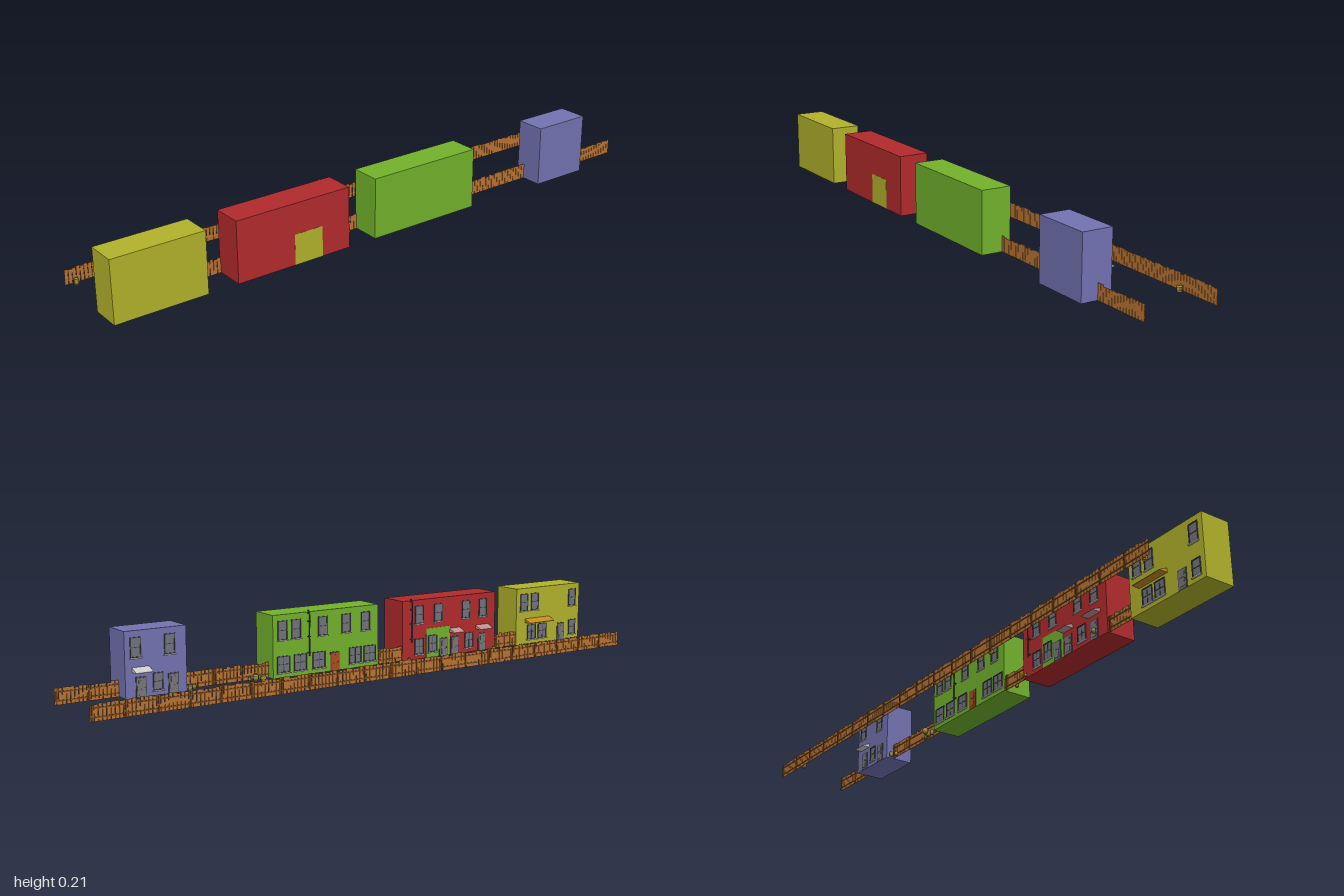
import * as THREE from 'three';

const WALL = 0.05; // street-side plane of every house (faces -x)
const GREY = 0xcccccc, FRAME = 0x4a4a50, GLASS = 0x70747c, WOOD = 0xb87333, DARKWOOD = 0x7a4a20;
const YELLOW = 0xb2b22c, RED = 0xb22a2c, GREEN = 0x72b22c, PURPLE = 0x7272b2;

const mats = {};
const mat = (c) => (mats[c] ??= new THREE.MeshStandardMaterial({ color: c, side: THREE.DoubleSide, flatShading: true }));

function add(parent, name, geo, color, x = 0, y = 0, z = 0) {
  const m = new THREE.Mesh(geo, mat(color));
  m.name = name;
  m.position.set(x, y, z);
  parent.add(m);
  return m;
}
const box = (p, name, c, w, h, d, x, y, z) => add(p, name, new THREE.BoxGeometry(w, h, d), c, x, y, z);

function group(parent, name, x = 0, y = 0, z = 0) {
  const g = new THREE.Group();
  g.name = name;
  g.position.set(x, y, z);
  parent.add(g);
  return g;
}

// Small repeatable noise
let seed = 7;
const rand = () => (seed = (seed * 16807) % 2147483647) / 2147483647;

// Sash window: pane, four frame bars, mullions and a sill
function addWindow(parent, z, y, w, h, columns = 1) {
  const g = group(parent, 'window', WALL, y, z);
  box(g, 'pane', GLASS, 0.001, h, w, -0.0005, 0, 0);
  for (const s of [-1, 1]) {
    box(g, 'frameSide', FRAME, 0.003, h, 0.003, -0.0015, 0, s * w / 2);
    box(g, 'frameBar', FRAME, 0.003, 0.003, w + 0.003, -0.0015, s * h / 2, 0);
  }
  box(g, 'crossBar', FRAME, 0.002, 0.002, w, -0.001, 0, 0);
  for (let i = 1; i < columns; i++) box(g, 'mullion', FRAME, 0.002, h, 0.002, -0.001, 0, -w / 2 + (w * i) / columns);
  box(g, 'sill', GREY, 0.005, 0.003, w + 0.008, -0.0025, -h / 2 - 0.003, 0);
}

// Door with frame, panels and knob
function addDoor(parent, z, color) {
  const g = group(parent, 'door', WALL, 0, z);
  box(g, 'doorFrame', FRAME, 0.002, 0.062, 0.034, -0.001, 0.031, 0);
  box(g, 'doorLeaf', color, 0.003, 0.058, 0.028, -0.0015, 0.029, 0);
  for (const y of [0.016, 0.043]) box(g, 'doorPanel', color, 0.004, 0.018, 0.018, -0.002, y, 0);
  add(g, 'doorKnob', new THREE.SphereGeometry(0.0015, 8, 6), FRAME, -0.004, 0.029, 0.011);
}

// Sloping canopy over a door or shop window
function addAwning(parent, z, w, color) {
  const s = new THREE.Shape([[0, 0.012], [-0.028, 0], [-0.028, -0.002], [0, -0.002]].map((p) => new THREE.Vector2(...p)));
  const geo = new THREE.ExtrudeGeometry(s, { depth: w, bevelEnabled: false }).translate(0, 0, -w / 2);
  add(parent, 'awning', geo, color, WALL, 0.079, z);
}

// Drainpipe with a bent top and wall brackets
function addPipe(parent, z, bottom) {
  const g = group(parent, 'drainpipe', 0, 0, z);
  const path = new THREE.CatmullRomCurve3([[0.042, bottom], [0.042, 0.13], [0.042, 0.198], [0.045, 0.203], [0.052, 0.205]]
    .map(([x, y]) => new THREE.Vector3(x, y, 0)), false, 'centripetal');
  add(g, 'pipe', new THREE.TubeGeometry(path, 20, 0.002, 8), FRAME);
  for (const y of [0.07, 0.122, 0.17, 0.197]) box(g, 'bracket', FRAME, 0.011, 0.003, 0.007, 0.0455, y, 0);
}

// Upright planks of uneven height on two rails and posts
function addFence(parent, x, z0, z1) {
  const g = group(parent, 'fence');
  const n = Math.round((z1 - z0) / 0.0125), step = (z1 - z0) / n;
  for (let i = 0; i < n; i++) {
    const h = 0.046 + rand() * 0.006;
    const p = box(g, 'plank', WOOD, 0.0015, h, step * 0.9, x, h / 2, z0 + (i + 0.5) * step);
    p.rotation.x = (rand() - 0.5) * 0.05;
    if (i % 8 === 0) box(g, 'post', DARKWOOD, 0.003, 0.048, 0.004, x - 0.002, 0.024, z0 + (i + 0.5) * step);
  }
  for (const y of [0.012, 0.038]) box(g, 'rail', DARKWOOD, 0.002, 0.004, z1 - z0, x - 0.0015, y, (z0 + z1) / 2);
}

// Barrel with hoops
function addBarrel(parent, x, z, s = 1) {
  const g = group(parent, 'barrel', x, 0, z);
  const profile = [[0, 0], [0.007, 0], [0.0085, 0.005], [0.009, 0.01], [0.0085, 0.015], [0.007, 0.02], [0, 0.019]];
  add(g, 'staves', new THREE.LatheGeometry(profile.map((p) => new THREE.Vector2(...p)), 12), 0x9c8a2c);
  for (const y of [0.005, 0.015]) add(g, 'hoop', new THREE.CylinderGeometry(0.0089, 0.0089, 0.0015, 12, 1, true), FRAME, 0, y, 0);
  g.scale.setScalar(s);
}

// Houses: extent along z, upper windows, lower windows [z, width, columns], doors, awnings [z, width, colour], pipes [z, bottom]
const houses = [
  { name: 'yellowHouse', color: YELLOW, z: [0.7, 1], upper: [0.735, 0.785, 0.965],
    lower: [[0.772, 0.038, 2], [0.823, 0.038, 2], [0.967, 0.03, 1]], doors: [[0.912, 0x77777c]],
    awnings: [[0.798, 0.115, 0xc08a20]], pipes: [] },
  { name: 'redHouse', color: RED, z: [0.2, 0.6], upper: [0.27, 0.35, 0.47, 0.545],
    lower: [[0.27, 0.035, 2], [0.485, 0.035, 2]], doors: [[0.422, 0x77777c], [0.542, 0x77777c]],
    awnings: [[0.422, 0.045, 0xc09090], [0.542, 0.055, 0xc09090]], pipes: [[0.235, 0.06]] },
  { name: 'greenHouse', color: GREEN, z: [-0.3, 0.1], upper: [-0.265, -0.215, -0.115, -0.025, 0.05],
    lower: [[-0.262, 0.045, 2], [-0.2, 0.045, 2], [-0.13, 0.045, 2], [0.01, 0.045, 2], [0.067, 0.045, 2]],
    doors: [[-0.07, 0xb04a20]], awnings: [], pipes: [[-0.17, 0.06]] },
  { name: 'purpleHouse', color: PURPLE, z: [-0.8, -0.6], upper: [-0.765, -0.655],
    lower: [[-0.695, 0.03, 1]], doors: [[-0.75, 0x77777c], [-0.645, 0x77777c]],
    awnings: [[-0.75, 0.055, GREY]], pipes: [] },
];

export function createModel() {
  seed = 7;
  const model = new THREE.Group();
  model.name = 'street';

  for (const h of houses) {
    const g = group(model, h.name);
    const [a, b] = h.z;
    box(g, 'walls', h.color, 0.1, 0.2, b - a, 0.1, 0.1, (a + b) / 2);
    for (const z of h.upper) addWindow(g, z, 0.15, 0.032, 0.058);
    for (const [z, w, n] of h.lower) addWindow(g, z, 0.042, w, 0.05, n);
    for (const d of h.doors) addDoor(g, ...d);
    for (const w of h.awnings) addAwning(g, ...w);
    for (const p of h.pipes) addPipe(g, ...p);
    if (h.name === 'redHouse') {
      // Shop front on the street and the panel behind it
      box(g, 'shopFront', GREEN, 0.002, 0.1, 0.1, 0.0495, 0.05, 0.35);
      const shop = group(g, 'shopFittings', -0.0015);
      addWindow(shop, 0.326, 0.047, 0.035, 0.055, 2);
      addDoor(shop, 0.372, 0x77777c);
      box(g, 'backPanel', YELLOW, 0.001, 0.1, 0.1, 0.15, 0.05, 0.35);
    }
  }

  // Long street fence and the fences closing the gaps
  addFence(model, -0.15, -1, 1);
  addFence(model, 0.055, 0.6, 0.7);
  addFence(model, 0.055, 0.1, 0.2);
  addFence(model, 0.078, -0.6, -0.3);
  addFence(model, 0.095, -1, -0.8);

  // Barrels along both sides of the street
  const barrels = [[-0.138, -0.86], [-0.138, 0.29, 0.85], [-0.138, 0.97, 0.9], [0.042, -0.34], [0.064, -0.355], [0.066, -0.335, 0.8],
    [0.068, -0.375, 0.6], [0.06, -0.585, 0.8], [0.068, -0.567, 0.7], [0.068, 0.142, 0.7], [0.02, 0.572, 0.75], [0.041, 0.222, 0.5]];
  for (const b of barrels) addBarrel(model, ...b);
  return model;
}
